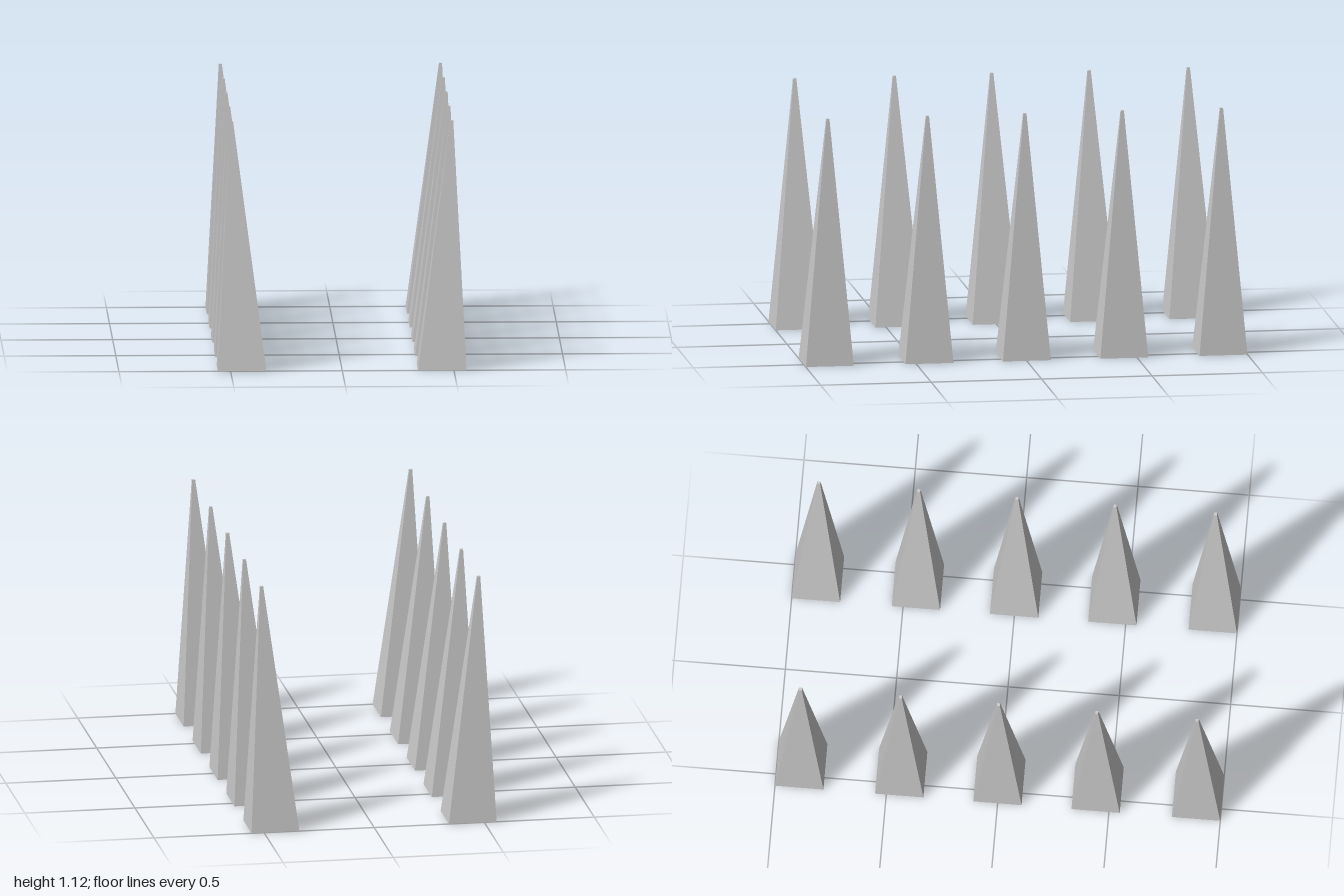
import * as THREE from 'three';

const HEIGHT = 1.116, BASE = 0.217, TIP = 0.0135;
const BASE_X = 0.448, TIP_X = 0.493;
const ROWS = [-0.891, -0.442, -0.001, 0.44, 0.891];

// Square spike tapering to a tiny flat tip that leans outward along x
function spikeGeometry(side) {
  const geo = new THREE.BoxGeometry(BASE, HEIGHT, BASE);
  geo.translate(0, HEIGHT / 2, 0);
  const p = geo.attributes.position;
  for (let i = 0; i < p.count; i++) {
    if (p.getY(i) < HEIGHT / 2) continue;
    p.setX(i, p.getX(i) * TIP / BASE + side * (TIP_X - BASE_X));
    p.setZ(i, p.getZ(i) * TIP / BASE);
  }
  geo.computeVertexNormals();
  return geo;
}

export function createModel() {
  const model = new THREE.Group();
  model.name = 'spikeRows';
  const material = new THREE.MeshStandardMaterial({ color: 0xcccccc, flatShading: true });

  // Two mirrored rows of five spikes
  for (const side of [-1, 1]) {
    const row = new THREE.Group();
    row.name = side > 0 ? 'leftRow' : 'rightRow';
    const geo = spikeGeometry(side);
    ROWS.forEach((z, i) => {
      const spike = new THREE.Mesh(geo, material);
      spike.name = `spike${i + 1}`;
      spike.position.set(side * BASE_X, 0, z);
      row.add(spike);
    });
    model.add(row);
  }
  return model;
}
